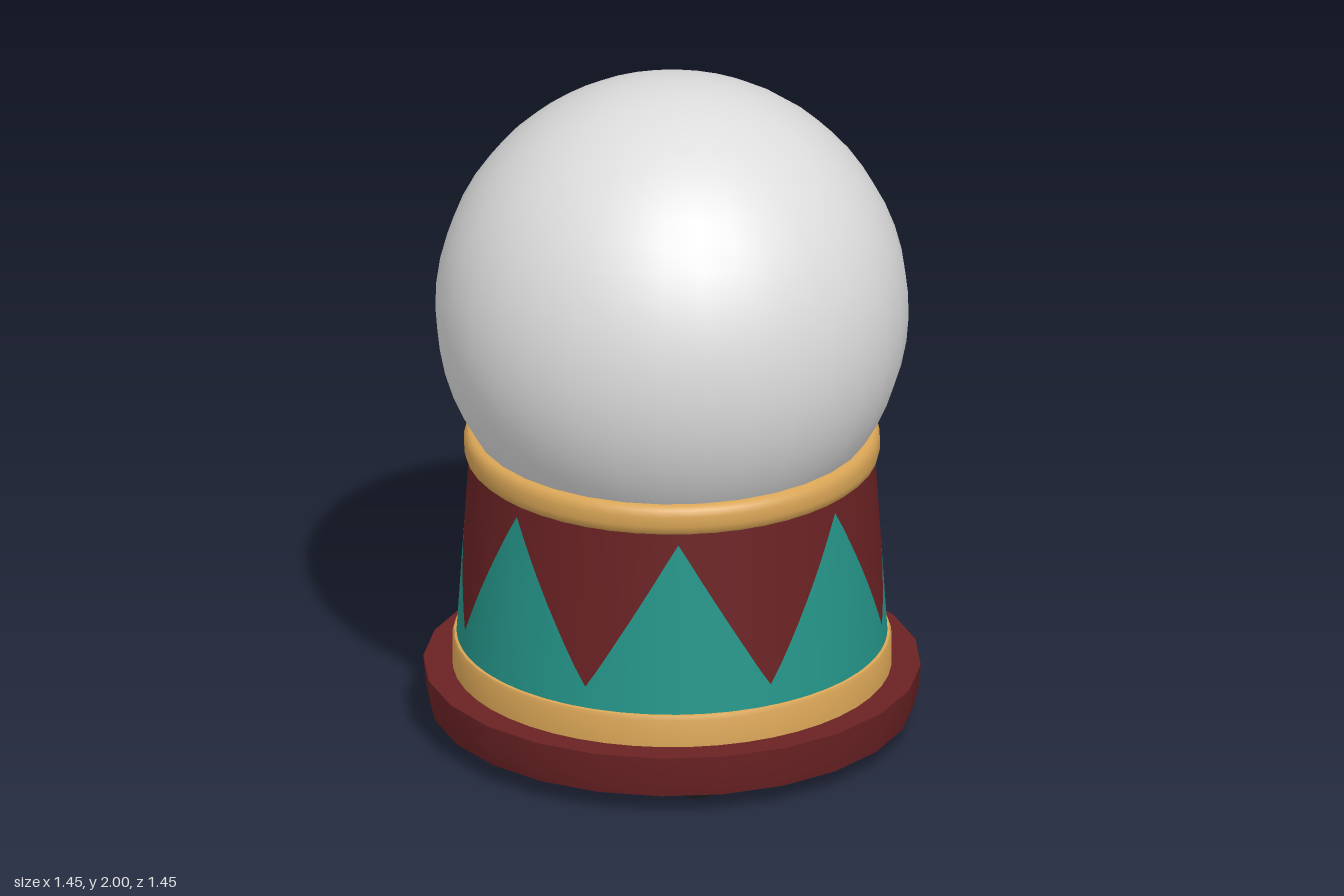
import * as THREE from 'three';
import { toCreasedNormals } from 'three/addons/utils/BufferGeometryUtils.js';

const flat = (name, color) => {
  const m = new THREE.MeshStandardMaterial({ color });
  m.name = name;
  return m;
};

export function createModel() {
  const red = flat('dark red', 0x6b2224);
  const gold = flat('gold', 0xd9a556);
  const teal = flat('teal', 0x25968a);
  const glass = flat('pale grey', 0xdddddd);
  const black = flat('black', 0x242424);

  const model = new THREE.Group();
  model.name = 'globeOnDrum';
  const add = (name, geometry, material) => {
    const mesh = new THREE.Mesh(geometry, material);
    mesh.name = name;
    model.add(mesh);
    return mesh;
  };
  const turned = (points, sides) => toCreasedNormals(
    new THREE.LatheGeometry(points.map(p => new THREE.Vector2(...p)), sides), 0.75);

  // Base plate with a slightly flared rim
  add('basePlate', turned([[0, 0.06], [0.705, 0.06], [0.718, 0.11], [0.725, 0.188], [0, 0.188]], 24), red);

  // Three small feet
  const footShape = turned([[0, 0], [0.045, 0], [0.06, 0.018], [0.06, 0.065], [0, 0.065]], 12);
  for (const [x, z] of [[0.01, -0.55], [0.445, 0.31], [-0.475, 0.31]]) {
    add('foot', footShape, black).position.set(x, 0, z);
  }

  // Gold bands below and above the drum
  add('lowerBand', turned([[0.58, 0.18], [0.64, 0.18], [0.64, 0.27], [0.635, 0.283], [0.62, 0.288], [0.58, 0.288]], 48), gold);
  add('upperBand', turned([
    [0.56, 0.84], [0.59, 0.84], [0.601, 0.85], [0.606, 0.87], [0.606, 0.9],
    [0.601, 0.92], [0.59, 0.93], [0.55, 0.93]], 48), gold);

  // Drum wall: seven teal points against red
  const teeth = 7, steps = 16, columns = teeth * steps;
  const radiusAt = y => 0.627 - (y - 0.285) * 0.065;
  const tipAngle = THREE.MathUtils.degToRad(-1.9);
  const zigzag = i => {
    const k = (i % steps) / steps;
    const t = Math.abs(1 - 2 * k); // 1 at a tip, 0 in a valley
    return 0.345 + 0.465 * Math.min(Math.max(t, 0.01), 0.995);
  };
  const wall = (low, high) => {
    const position = [], index = [];
    for (let i = 0; i < columns; i++) {
      const a = tipAngle + (i / columns) * Math.PI * 2;
      for (const y of [low(i), high(i)]) {
        position.push(Math.sin(a) * radiusAt(y), y, Math.cos(a) * radiusAt(y));
      }
      const p = 2 * i, q = 2 * ((i + 1) % columns);
      index.push(p, q, q + 1, p, q + 1, p + 1);
    }
    const g = new THREE.BufferGeometry();
    g.setAttribute('position', new THREE.Float32BufferAttribute(position, 3));
    g.setIndex(index);
    g.computeVertexNormals();
    return g;
  };
  add('drumPoints', wall(() => 0.27, zigzag), teal);
  add('drumWall', wall(zigzag, () => 0.86), red);

  // Globe resting in the upper band
  const globe = add('globe', new THREE.SphereGeometry(0.69, 32, 20, 0, Math.PI * 2, 0, 2.28), glass);
  globe.position.y = 1.31;

  return model;
}
